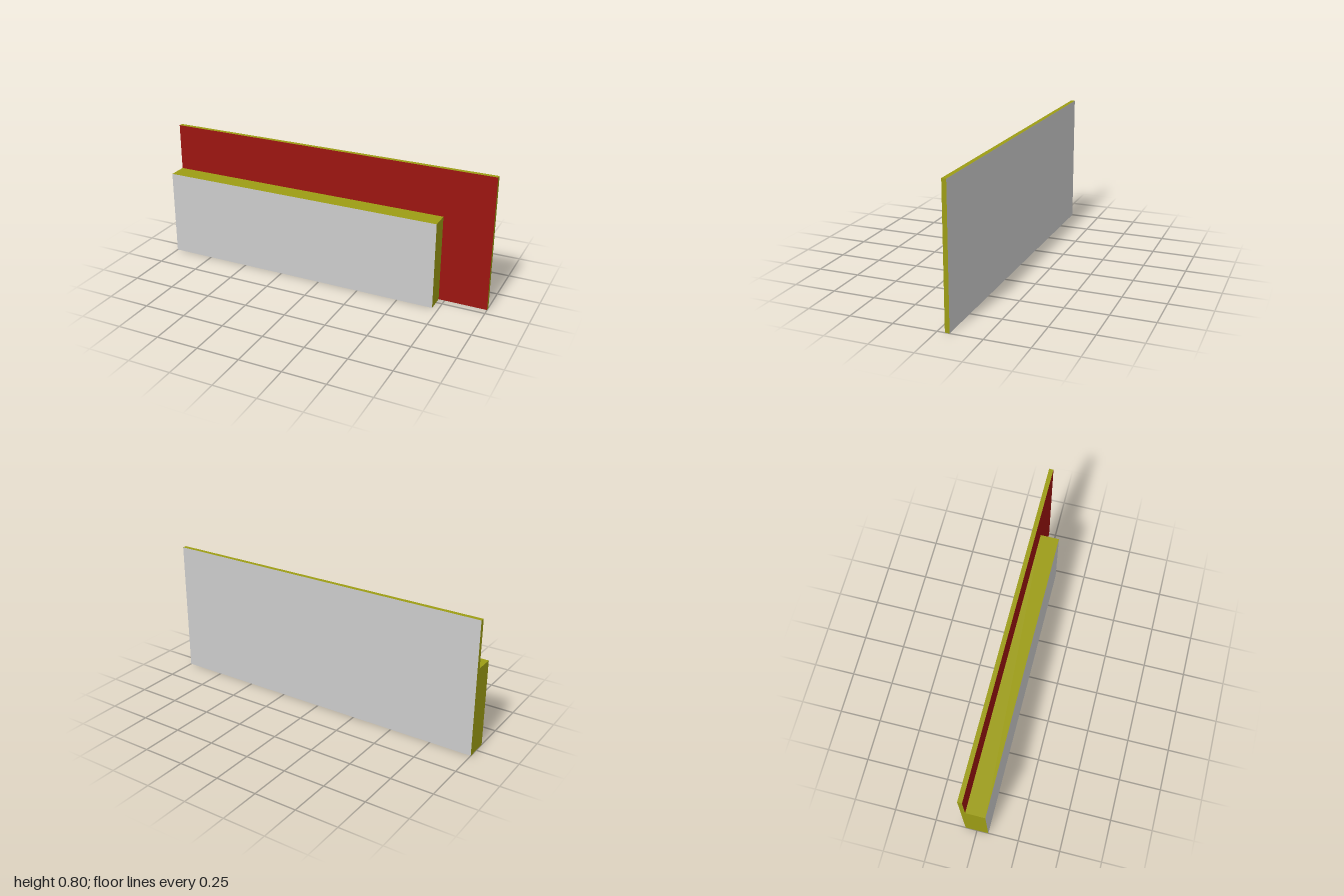
import * as THREE from 'three';

const paint = (color) => new THREE.MeshStandardMaterial({ color, flatShading: true });
const grey = paint(0xcccccc);
const red = paint(0x9c1410);
const olive = paint(0x9c9c14);

// Upright panel standing on y = 0: coloured faces wrapped by an olive edge band
function createPanel(name, [x0, x1], height, [z0, z1], frontMaterial, backMaterial) {
  const width = x1 - x0, depth = z1 - z0;
  const panel = new THREE.Group();
  panel.name = name;
  panel.position.set((x0 + x1) / 2, height / 2, (z0 + z1) / 2);

  const add = (part, geometry, material) => {
    const mesh = new THREE.Mesh(geometry, material);
    mesh.name = name + part;
    panel.add(mesh);
  };

  // Four-sided open tube forms the edge band
  const r = Math.SQRT1_2;
  const band = new THREE.CylinderGeometry(r, r, 1, 4, 1, true, Math.PI / 4)
    .rotateX(Math.PI / 2)
    .scale(width, height, depth);
  add('Edge', band, olive);

  const face = () => new THREE.PlaneGeometry(width, height);
  add('Front', face().translate(0, 0, depth / 2), frontMaterial);
  add('Back', face().rotateY(Math.PI).translate(0, 0, -depth / 2), backMaterial);
  return panel;
}

export function createModel() {
  const model = new THREE.Group();
  model.name = 'steppedPanel';
  model.add(
    // Thin tall board at the rear
    createPanel('backBoard', [-1, 1], 0.8, [-0.069, -0.043], red, grey),
    // Thicker, lower block flush with the bottom and the right-hand end
    createPanel('frontBlock', [-1, 0.714], 0.519, [-0.043, 0.069], grey, grey),
  );
  return model;
}
